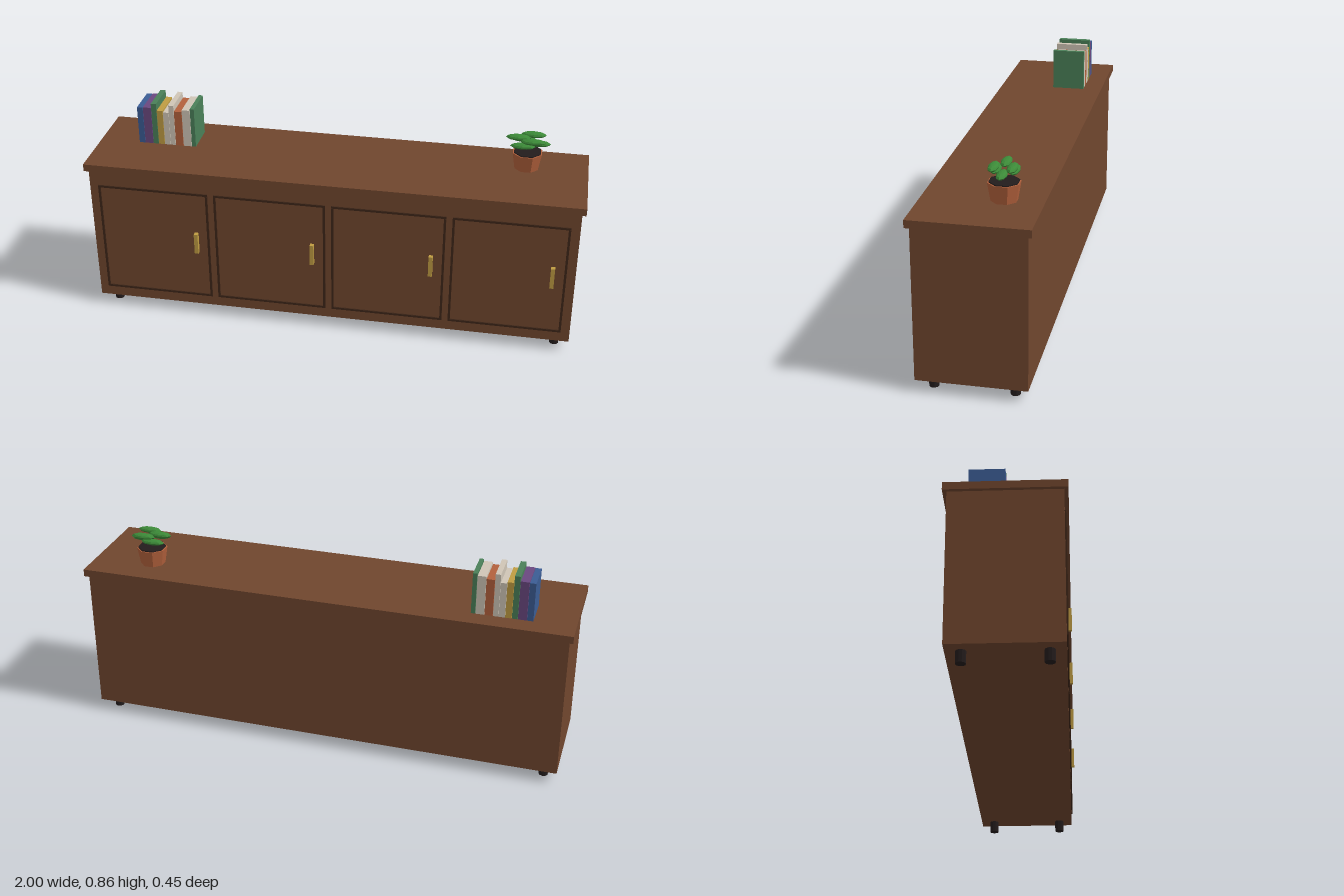
import * as THREE from 'three';

const paint = (name, color) => {
  const m = new THREE.MeshStandardMaterial({ color, flatShading: true });
  m.name = name;
  return m;
};

export function createModel() {
  const model = new THREE.Group();
  model.name = 'sideboard';
  const wood = paint('wood', 0x70462e);
  const darkWood = paint('darkWood', 0x3e2618);
  const black = paint('black', 0x231c1c);
  const gold = paint('gold', 0xbf9c42);
  const blue = paint('blue', 0x3b5c94);
  const purple = paint('purple', 0x6a4880);
  const green = paint('green', 0x4a8058);
  const cream = paint('cream', 0xcfc5b6);
  const terracotta = paint('terracotta', 0xb3613c);
  const leaf = paint('leaf', 0x3c8a38);

  const add = (name, geometry, material, x, y, z, parent = model) => {
    const mesh = new THREE.Mesh(geometry, material);
    mesh.name = name;
    mesh.position.set(x, y, z);
    parent.add(mesh);
    return mesh;
  };
  // Box given by its lower and upper corners
  const box = (name, material, [x0, y0, z0], [x1, y1, z1], parent) =>
    add(name, new THREE.BoxGeometry(x1 - x0, y1 - y0, z1 - z0), material,
      (x0 + x1) / 2, (y0 + y1) / 2, (z0 + z1) / 2, parent);

  // Cabinet body and overhanging top
  box('body', wood, [-0.985, 0.047, -0.208], [0.985, 0.645, 0.208]);
  box('top', wood, [-1, 0.645, -0.223], [1, 0.675, 0.223]);

  // Feet
  for (const x of [-0.927, 0.927]) {
    for (const z of [-0.151, 0.151]) {
      add('foot', new THREE.CylinderGeometry(0.019, 0.019, 0.047, 10), black, x, 0.0235, z);
    }
  }

  // Doors: thin dark moulding and an upright handle
  const halfW = 0.228, low = 0.091, high = 0.579, t = 0.009;
  for (let i = 0; i < 4; i++) {
    const door = new THREE.Group();
    door.name = 'door';
    door.position.x = (i - 1.5) * 0.481;
    model.add(door);
    for (const y of [low, high - t]) {
      box('moulding', darkWood, [-halfW, y, 0.207], [halfW, y + t, 0.213], door);
    }
    for (const x of [-halfW, halfW - t]) {
      box('moulding', darkWood, [x, low + t, 0.207], [x + t, high - t, 0.214], door);
    }
    box('handle', gold, [0.166, 0.305, 0.207], [0.182, 0.395, 0.226], door);
  }

  // Row of books: left edge, right edge, top, colour
  const books = new THREE.Group();
  books.name = 'books';
  model.add(books);
  [
    [-0.836, -0.812, 0.834, blue],
    [-0.811, -0.777, 0.836, purple],
    [-0.776, -0.754, 0.855, green],
    [-0.753, -0.728, 0.826, gold],
    [-0.727, -0.703, 0.820, cream],
    [-0.702, -0.681, 0.853, cream],
    [-0.680, -0.648, 0.828, terracotta],
    [-0.647, -0.613, 0.837, cream],
    [-0.612, -0.595, 0.845, green],
  ].forEach(([x0, x1, top, color]) =>
    box('book', color, [x0, 0.675, -0.144], [x1, top, -0.008], books));

  // Potted plant
  const plant = new THREE.Group();
  plant.name = 'plant';
  plant.position.set(0.754, 0.675, -0.076);
  model.add(plant);
  const turn = Math.PI / 8;
  add('pot', new THREE.CylinderGeometry(0.062, 0.05, 0.07, 8), terracotta, 0, 0.035, 0, plant).rotation.y = turn;
  add('soil', new THREE.CylinderGeometry(0.057, 0.057, 0.008, 8), black, 0, 0.07, 0, plant).rotation.y = turn;

  // Six flattened leaves in a ring, alternating in height
  for (let i = 0; i < 6; i++) {
    const a = (i * Math.PI) / 3;
    add('leaf', new THREE.SphereGeometry(1, 8, 6), leaf,
      Math.cos(a) * 0.039, i % 2 ? 0.13 : 0.109, Math.sin(a) * 0.039, plant)
      .scale.set(0.05, 0.012, 0.02);
  }
  return model;
}
